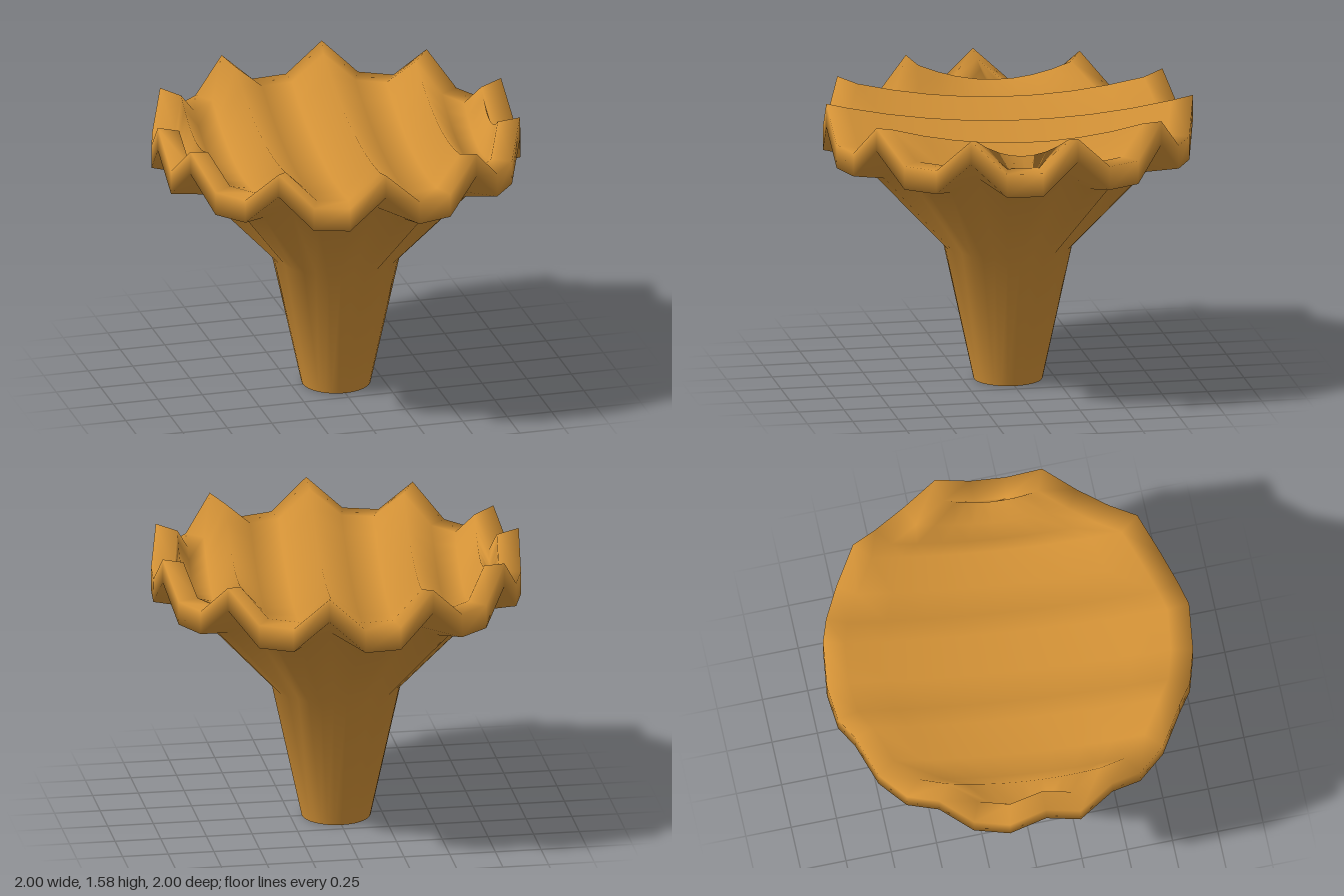
import * as THREE from 'three';

const N = 32; // sides around the mushroom
const ROWS = 8; // steps across the hollow top
const SAG = 0.09; // how far the top hangs below straight lines across

// Every third rim point is a peak; the last gap, on the -x side, is shorter.
const isPeak = i => ((i - 26 + N) % N) % 3 === 0;

// Rings from foot to inner lip: radius, height at a dip, height at a peak
const RINGS = [
  [0.187, 0, 0],
  [0.35, 0.75, 0.76],
  [0.8, 1.23, 1.32],
  [1, 1.27, 1.45],
  [1, 1.4, 1.58],
  [0.88, 1.4, 1.55],
];

function bodyGeometry() {
  const points = [];
  const index = [];
  for (const [r, dip, peak] of RINGS) {
    for (let i = 0; i < N; i++) {
      const a = (i / N) * Math.PI * 2; // 0 is the front
      points.push(new THREE.Vector3(r * Math.sin(a), isPeak(i) ? peak : dip, r * Math.cos(a)));
    }
  }
  // Stem, flare and rim
  for (let k = 0; k < RINGS.length - 1; k++) {
    for (let i = 0; i < N; i++) {
      const j = (i + 1) % N;
      const a = k * N + i, b = k * N + j;
      const c = a + N, d = b + N;
      index.push(a, b, d, a, d, c);
    }
  }
  // Hollow top: sagging ribs from each front lip point to the back lip
  const lip = i => (RINGS.length - 1) * N + ((i + N) % N);
  const ribs = [];
  for (let i = -N / 4; i < N / 4; i++) {
    const front = lip(i), back = lip(N / 2 - 1 - i);
    const rib = [front];
    for (let k = 1; k < ROWS; k++) {
      const t = k / ROWS;
      const p = points[front].clone().lerp(points[back], t);
      p.y -= SAG * 4 * t * (1 - t);
      rib.push(points.push(p) - 1);
    }
    rib.push(back);
    ribs.push(rib);
  }
  for (let c = 0; c < ribs.length - 1; c++) {
    for (let k = 0; k < ROWS; k++) {
      const a = ribs[c][k], b = ribs[c + 1][k];
      const d = ribs[c][k + 1], e = ribs[c + 1][k + 1];
      index.push(a, b, e, a, e, d);
    }
  }
  // Small side walls closing the top between the end ribs and the lip
  for (const [rib, flip] of [[ribs[0], true], [ribs[ribs.length - 1], false]]) {
    for (let k = 1; k < ROWS; k++) {
      const tri = [rib[0], rib[k + 1], rib[k]];
      index.push(...(flip ? tri.reverse() : tri));
    }
  }
  const geo = new THREE.BufferGeometry().setFromPoints(points);
  geo.setIndex(index);
  geo.computeVertexNormals();
  return geo;
}

export function createModel() {
  const group = new THREE.Group();
  group.name = 'mushroom';
  const ochre = new THREE.MeshStandardMaterial({ color: 0xd29136, side: THREE.DoubleSide });
  ochre.name = 'ochre';

  // Open-footed stem flaring into the frilled cap
  const body = new THREE.Mesh(bodyGeometry(), ochre);
  body.name = 'stemAndCap';
  group.add(body);

  return group;
}
